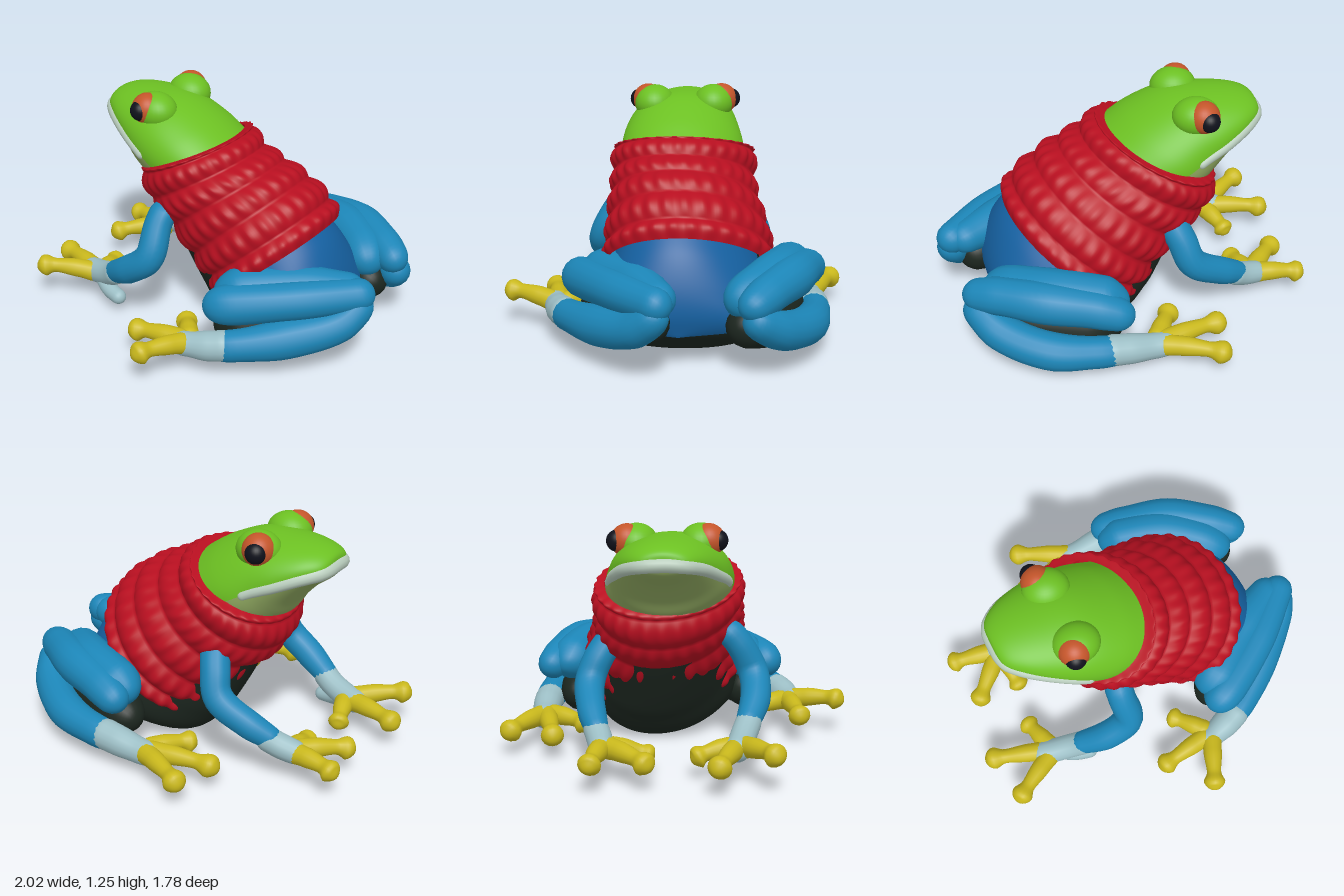
import * as THREE from 'three';
import { mergeVertices } from 'three/addons/utils/BufferGeometryUtils.js';

const V = (x, y, z) => new THREE.Vector3(x, y, z);
const SIDE = V(0.19, 0, 0.98); // the model's sideways axis, slightly turned

const COLORS = {
  green: 0x6cc022, throat: 0x8fa860, lip: 0xb9cdbd, red: 0xb80f20, blue: 0x1c86b8,
  deepBlue: 0x1560a0, pale: 0x9dbfc6, yellow: 0xc9b81c, belly: 0x1c261f, orange: 0xc4552a, black: 0x10121c,
};

function mesh(name, color, geometry) {
  const m = new THREE.Mesh(geometry, new THREE.MeshStandardMaterial({ color: COLORS[color] }));
  m.name = name;
  return m;
}

// Surface through sloping oval sections: [topX, topY, bottomX, bottomY, centreZ, halfWidth]
function sections(rows, relief = () => 0) {
  const top = new THREE.CatmullRomCurve3(rows.map(r => V(r[0], r[1], r[5])), false, 'catmullrom');
  const low = new THREE.CatmullRomCurve3(rows.map(r => V(r[2], r[3], r[4])), false, 'catmullrom');
  return (t, a) => {
    const A = top.getPoint(t), B = low.getPoint(t), k = 1 + relief(t, a);
    const c = Math.cos(a) * k, s = Math.sin(a) * k * A.z;
    return V((A.x + B.x) / 2 + (A.x - B.x) / 2 * c + SIDE.x * s,
      (A.y + B.y) / 2 + (A.y - B.y) / 2 * c, B.z + SIDE.z * s);
  };
}

// Skin a section surface between two angles (0 is the top, growing towards +z)
function skin(fn, a0, a1, nt, na) {
  const pos = [], idx = [];
  for (let i = 0; i <= nt; i++) {
    for (let j = 0; j <= na; j++) pos.push(...fn(i / nt, a0 + (a1 - a0) * j / na).toArray());
  }
  for (let i = 0; i < nt; i++) {
    for (let j = 0; j < na; j++) {
      const p = i * (na + 1) + j, q = p + na + 1;
      idx.push(p, p + 1, q, p + 1, q + 1, q);
    }
  }
  let g = new THREE.BufferGeometry();
  g.setAttribute('position', new THREE.Float32BufferAttribute(pos, 3));
  g.setIndex(idx);
  g = mergeVertices(g, 1e-5);
  g.computeVertexNormals();
  return g;
}

// Round-ended limb of changing thickness through [x, y, z, radius]
function limb(points, seg = 40, sides = 16) {
  const curve = new THREE.CatmullRomCurve3(points.map(p => V(p[0], p[1], p[2])));
  const length = curve.getLength(), n = points.length - 1;
  let g = new THREE.TubeGeometry(curve, seg, 1, sides);
  const pos = g.attributes.position, nor = g.attributes.normal;
  for (let i = 0; i <= seg; i++) {
    // bunch the rings at both ends so the caps come out round
    const u = (1 - Math.cos(Math.PI * i / seg)) / 2;
    const f = curve.getUtoTmapping(u) * n, k = Math.min(Math.floor(f), n - 1);
    let r = THREE.MathUtils.lerp(points[k][3], points[k + 1][3], THREE.MathUtils.smoothstep(f - k, 0, 1));
    const d = Math.min(u, 1 - u) * length;
    if (d < r) r *= Math.sqrt(Math.max(0, 1 - (1 - d / r) ** 2));
    const c = curve.getPointAt(u);
    for (let j = 0; j <= sides; j++) {
      const v = i * (sides + 1) + j;
      pos.setXYZ(v, c.x + nor.getX(v) * r, c.y + nor.getY(v) * r, c.z + nor.getZ(v) * r);
    }
  }
  g.deleteAttribute('uv');
  g.deleteAttribute('normal');
  g = mergeVertices(g, 1e-5);
  g.computeVertexNormals();
  return g;
}

function ball(name, color, r, p, scale = [1, 1, 1]) {
  const m = mesh(name, color, new THREE.SphereGeometry(r, 28, 20));
  m.position.set(...p);
  m.scale.set(...scale);
  return m;
}

// Digits fan out from a palm point and end in round pads
function digits(name, palm, tips) {
  const g = new THREE.Group();
  g.name = name;
  for (const tip of tips) {
    const at = (f, lift, r) => [0, 1, 2].map(i => palm[i] + (tip[i] - palm[i]) * f + (i === 1 ? lift : 0)).concat(r);
    g.add(mesh('digit', 'yellow', limb([at(0, 0, 0.06), at(0.35, 0.012, 0.052), at(0.7, 0.01, 0.04), at(0.87, 0, 0.062), at(1, 0, 0.062)])));
  }
  return g;
}

export function createModel() {
  const frog = new THREE.Group();
  frog.name = 'frog';
  const PI = Math.PI;

  // Head: green crown above, paler throat below, pale lip between
  const head = sections([
    [-0.71, 1.1, -0.71, 1.1, 0.06, 0], [-0.695, 1.155, -0.695, 1.04, 0.06, 0.12],
    [-0.61, 1.19, -0.6, 0.965, 0.045, 0.205], [-0.45, 1.205, -0.51, 0.87, 0.03, 0.27],
    [-0.25, 1.195, -0.465, 0.8, 0.02, 0.31], [-0.05, 1.115, -0.42, 0.76, 0, 0.335], [0.1, 1.02, -0.34, 0.72, -0.02, 0.335],
  ]);
  const jaw = 1.72;
  frog.add(mesh('headTop', 'green', skin(head, -jaw, jaw, 48, 48)));
  frog.add(mesh('throat', 'throat', skin(head, jaw, 2 * PI - jaw, 48, 40)));
  const lip = [];
  for (let i = -9; i <= 9; i++) {
    const p = head(Math.abs(i) / 9 * 0.72 + 0.03, i < 0 ? -jaw : jaw);
    lip.push([p.x + 0.015, p.y - 0.008, p.z * 0.96, 0.038 - Math.abs(i) * 0.0012]);
  }
  frog.add(mesh('lip', 'lip', limb(lip, 70, 12)));

  // Eyes: brow bump, orange rim and dark ball on each side
  for (const [s, x, z] of [[1, -0.31, 0.18], [-1, -0.385, -0.15]]) {
    const out = d => [x - 0.03 * d / 0.1 + SIDE.x * s * d, 1.165, z + SIDE.z * s * d];
    frog.add(ball('eyeBump', 'green', 0.1, [x + 0.015, 1.15, z - s * 0.005], [1.25, 1, 1.1]));
    frog.add(ball('eyeRim', 'orange', 0.086, out(0.037)));
    frog.add(ball('eyeBall', 'black', 0.056, out(0.084)));
    frog.add(ball('nostril', 'black', 0.01, [-0.645, 1.145, 0.055 + s * 0.09]));
  }

  // Body: blue back with a dark, flattened belly
  const body = sections([
    [0.1, 1.0, -0.38, 0.72, -0.02, 0.33], [0.3, 0.9, -0.3, 0.5, -0.05, 0.34],
    [0.47, 0.8, -0.19, 0.27, -0.09, 0.36], [0.61, 0.67, -0.11, 0.14, -0.12, 0.385],
    [0.69, 0.57, 0.03, 0.01, -0.14, 0.415], [0.75, 0.43, 0.32, 0.01, -0.15, 0.42],
    [0.77, 0.3, 0.56, 0.045, -0.16, 0.35], [0.75, 0.18, 0.75, 0.18, -0.16, 0],
  ]);
  frog.add(mesh('back', 'deepBlue', skin(body, -1.35, 1.35, 48, 40)));
  frog.add(mesh('belly', 'belly', skin(body, 1.35, 2 * PI - 1.35, 48, 48)));

  // Knitted sweater: thick ribs round the body, each broken into stitches
  const knit = (t, a) => {
    const rib = Math.abs(Math.sin(PI * 6 * t));
    return 0.08 * rib * (0.82 + 0.18 * Math.cos(a * 30 + Math.floor(t * 6) * 2.2)) - 0.035;
  };
  const sweater = sections([
    [0.08, 1.04, -0.43, 0.83, -0.02, 0.345], [0.135, 1.05, -0.48, 0.76, -0.02, 0.385],
    [0.22, 0.985, -0.43, 0.6, -0.03, 0.385], [0.34, 0.935, -0.29, 0.46, -0.06, 0.395],
    [0.47, 0.865, -0.16, 0.31, -0.1, 0.42], [0.59, 0.76, -0.07, 0.2, -0.13, 0.435], [0.65, 0.67, 0.0, 0.13, -0.14, 0.445],
  ], knit);
  const knitMesh = mesh('sweater', 'red', skin(sweater, 0, 2 * PI, 84, 204));
  knitMesh.material.side = THREE.DoubleSide;
  frog.add(knitMesh);

  // Front legs
  frog.add(mesh('frontLegLeft', 'blue', limb([
    [-0.12, 0.69, 0.25, 0.08], [-0.11, 0.6, 0.34, 0.076], [-0.095, 0.43, 0.425, 0.082], [-0.22, 0.32, 0.455, 0.08], [-0.42, 0.21, 0.43, 0.062]])));
  frog.add(mesh('wristLeft', 'pale', limb([[-0.31, 0.265, 0.45, 0.069], [-0.42, 0.2, 0.43, 0.068], [-0.55, 0.16, 0.42, 0.068], [-0.66, 0.15, 0.41, 0.06]])));
  frog.add(digits('handLeft', [-0.53, 0.15, 0.415], [[-0.92, 0.15, 0.365], [-0.8, 0.2, 0.66], [-0.65, 0.11, 0.19]]));
  frog.add(mesh('thumbLeft', 'pale', limb([[-0.52, 0.15, 0.42, 0.045], [-0.42, 0.11, 0.45, 0.045], [-0.29, 0.09, 0.46, 0.042]])));
  frog.add(mesh('frontLegRight', 'blue', limb([
    [-0.2, 0.66, -0.28, 0.08], [-0.28, 0.53, -0.37, 0.08], [-0.34, 0.4, -0.41, 0.08], [-0.5, 0.29, -0.36, 0.075], [-0.65, 0.2, -0.28, 0.058]])));
  frog.add(mesh('wristRight', 'pale', limb([[-0.55, 0.25, -0.34, 0.066], [-0.65, 0.19, -0.28, 0.066], [-0.78, 0.155, -0.23, 0.06]])));
  frog.add(digits('handRight', [-0.69, 0.16, -0.25], [[-1.0, 0.15, -0.25], [-0.89, 0.14, 0.04], [-0.62, 0.1, 0.0]]));

  // Hind legs: thigh and shin folded side by side, long foot running forward below
  frog.add(mesh('thighLeft', 'blue', limb([
    [0.35, 0.37, 0.38, 0.1], [0.46, 0.39, 0.28, 0.13], [0.66, 0.41, 0.08, 0.12], [0.93, 0.42, -0.14, 0.085]])));
  frog.add(mesh('shinLeft', 'blue', limb([
    [0.37, 0.35, 0.48, 0.09], [0.5, 0.37, 0.38, 0.108], [0.72, 0.4, 0.18, 0.1], [0.985, 0.42, -0.15, 0.085]])));
  frog.add(mesh('underThighLeft', 'belly', limb([
    [0.34, 0.19, 0.36, 0.09], [0.47, 0.2, 0.3, 0.12], [0.65, 0.23, 0.13, 0.14], [0.88, 0.29, -0.1, 0.1]])));
  frog.add(mesh('lowerLegLeft', 'blue', limb([
    [0.96, 0.4, -0.13, 0.08], [0.91, 0.28, 0.01, 0.095], [0.74, 0.21, 0.24, 0.105], [0.56, 0.18, 0.45, 0.085], [0.38, 0.15, 0.57, 0.06]])));
  frog.add(mesh('ankleLeft', 'pale', limb([[0.58, 0.19, 0.44, 0.085], [0.47, 0.17, 0.52, 0.08], [0.36, 0.16, 0.58, 0.066], [0.28, 0.16, 0.62, 0.06]])));
  frog.add(digits('footLeft', [0.36, 0.16, 0.56], [[0.28, 0.2, 0.89], [0.02, 0.15, 0.68], [0.15, 0.14, 0.39]]));

  frog.add(mesh('thighRight', 'blue', limb([
    [0.03, 0.36, -0.66, 0.09], [0.16, 0.4, -0.65, 0.12], [0.4, 0.42, -0.61, 0.13], [0.6, 0.4, -0.52, 0.12], [0.75, 0.35, -0.42, 0.1]])));
  frog.add(mesh('shinRight', 'blue', limb([
    [0.01, 0.35, -0.76, 0.08], [0.2, 0.4, -0.73, 0.1], [0.45, 0.43, -0.69, 0.11], [0.68, 0.42, -0.6, 0.1], [0.87, 0.38, -0.51, 0.08]])));
  frog.add(mesh('underThighRight', 'belly', limb([
    [0.05, 0.2, -0.62, 0.09], [0.25, 0.2, -0.6, 0.14], [0.5, 0.21, -0.55, 0.14], [0.78, 0.26, -0.46, 0.1]])));
  frog.add(mesh('lowerLegRight', 'blue', limb([
    [0.85, 0.35, -0.52, 0.08], [0.7, 0.24, -0.66, 0.1], [0.45, 0.18, -0.775, 0.1], [0.2, 0.16, -0.79, 0.085], [-0.05, 0.14, -0.75, 0.065]])));
  frog.add(mesh('ankleRight', 'pale', limb([[0.2, 0.165, -0.79, 0.086], [0.05, 0.15, -0.77, 0.08], [-0.1, 0.13, -0.74, 0.068], [-0.22, 0.13, -0.72, 0.06]])));
  frog.add(digits('footRight', [-0.1, 0.13, -0.73], [[-0.49, 0.13, -0.84], [-0.5, 0.12, -0.57], [-0.22, 0.12, -0.45]]));

  return frog;
}
